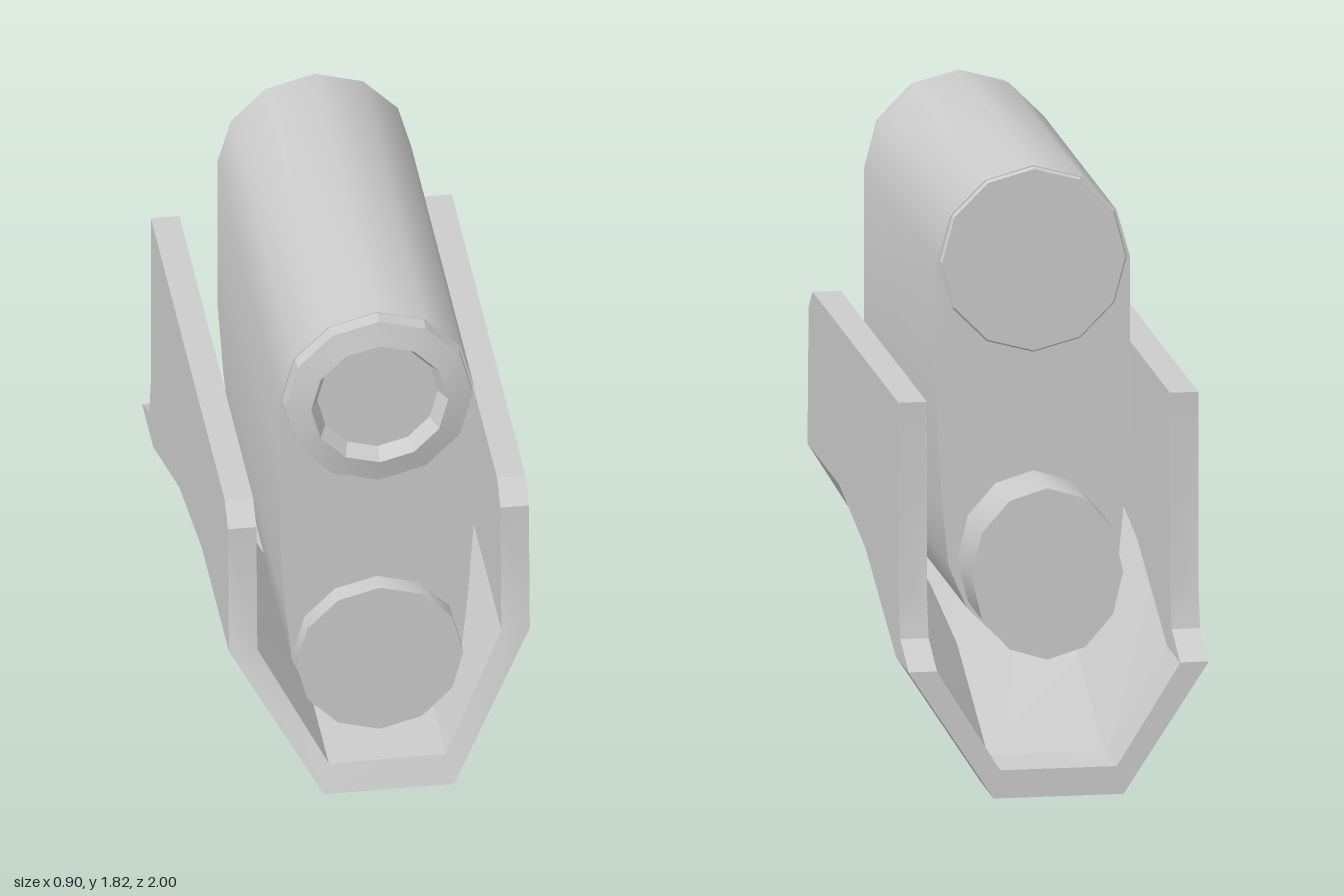
import * as THREE from 'three';
import { toCreasedNormals } from 'three/addons/utils/BufferGeometryUtils.js';

const mat = new THREE.MeshStandardMaterial({ color: 0xcccccc });

function part(group, name, geometry, crease = 0.6) {
  const mesh = new THREE.Mesh(toCreasedNormals(geometry, crease), mat);
  mesh.name = name;
  group.add(mesh);
  return mesh;
}

// Turned part whose axis runs along z; profile rows are [radius, z]
function turned(profile, y, sx = 1, sy = 1) {
  return new THREE.LatheGeometry(profile.map(p => new THREE.Vector2(...p)), 12)
    .rotateX(Math.PI / 2).scale(sx, sy, 1).translate(0, y, 0);
}

// Open trough with upright side walls, lofted from front to back
function cradleGeometry() {
  // [z of floor, z of shoulder, z of wall top, floor y, shoulder y, wall top y]
  const stations = [
    [1, 0.8, 0.78, 0.29, 0.69, 1.11],
    [0.71, 0.71, 0.71, 0.29, 0.69, 1.17],
    [0.24, 0.24, 0.24, 0.29, 0.69, 1.17],
    [-0.23, -0.23, -0.23, 0.215, 0.6, 1.17],
    [-0.77, -0.77, -0.77, 0, 0.39, 1.17],
    [-0.818, -0.818, -0.818, 0, 0.39, 1.17],
    [-0.82, -0.82, -0.82, 0, 0.39, 0.59],
    [-0.85, -0.85, -0.85, 0, 0.39, 0.46],
    [-1, -1, -1, 0, 0.39, 0.392],
  ];
  const pos = [], index = [], n = 12;
  stations.forEach(([zf, zs, zt, f, s, t], k) => {
    const half = [
      [0.195, f, zf], [0.45, s, zs], [0.45, t, zt],
      [0.365, t, zt], [0.365, s, zs], [0.175, f + 0.085, k ? zf : 0.965],
    ];
    const mirrored = half.map(([x, y, z]) => [-x, y, z]).reverse();
    pos.push(...half.flat(), ...mirrored.flat());
  });
  for (let k = 0; k < stations.length - 1; k++) {
    for (let i = 0; i < n; i++) {
      const a = k * n + i, b = k * n + (i + 1) % n;
      index.push(a, a + n, b, b, a + n, b + n);
    }
  }
  // End faces
  const last = (stations.length - 1) * n;
  for (const [a, b, c, d] of [[0, 1, 4, 5], [1, 2, 3, 4], [11, 0, 5, 6], [6, 7, 10, 11], [7, 8, 9, 10]]) {
    index.push(a, b, c, a, c, d);
    index.push(last + a, last + c, last + b, last + a, last + d, last + c);
  }
  const g = new THREE.BufferGeometry();
  g.setAttribute('position', new THREE.Float32BufferAttribute(pos, 3));
  g.setIndex(index);
  return g;
}

// Tall rounded slab, slightly narrower at its lower end
function bodyGeometry() {
  const side = [
    [0.06, 0.372], [0.11, 0.39], [0.2, 0.48], [0.255, 0.61], [0.272, 0.78], [0.29, 1.03],
    [0.29, 1.53], [0.25, 1.67], [0.145, 1.775],
  ];
  const outline = [...side, [0, 1.815], ...side.map(([x, y]) => [-x, y]).reverse()];
  const shape = new THREE.Shape(outline.map(p => new THREE.Vector2(...p)));
  return new THREE.ExtrudeGeometry(shape, { depth: 1.295, bevelEnabled: false }).translate(0, 0, -0.55);
}

export function createModel() {
  const group = new THREE.Group();
  group.name = 'cradledBarrel';

  part(group, 'cradle', cradleGeometry(), 0.5);
  part(group, 'body', bodyGeometry());

  // Upper barrel ends: recessed ring in front, thin cap behind
  part(group, 'frontRing', turned([
    [0.283, 0.74], [0.28, 0.79], [0.205, 0.81], [0.18, 0.76], [0, 0.76],
  ], 1.53), 0.3);
  part(group, 'rearCap', turned([[0, -0.56], [0.275, -0.56], [0.284, -0.545]], 1.53), 0.3);

  // Lower round ends
  part(group, 'lowerFrontDisc', turned([[0.25, 0.74], [0.25, 0.81], [0, 0.81]], 0.63));
  part(group, 'lowerRearCylinder', turned([[0, -0.8], [0.25, -0.8], [0.25, -0.54]], 0.63, 0.91, 1.04));

  return group;
}
